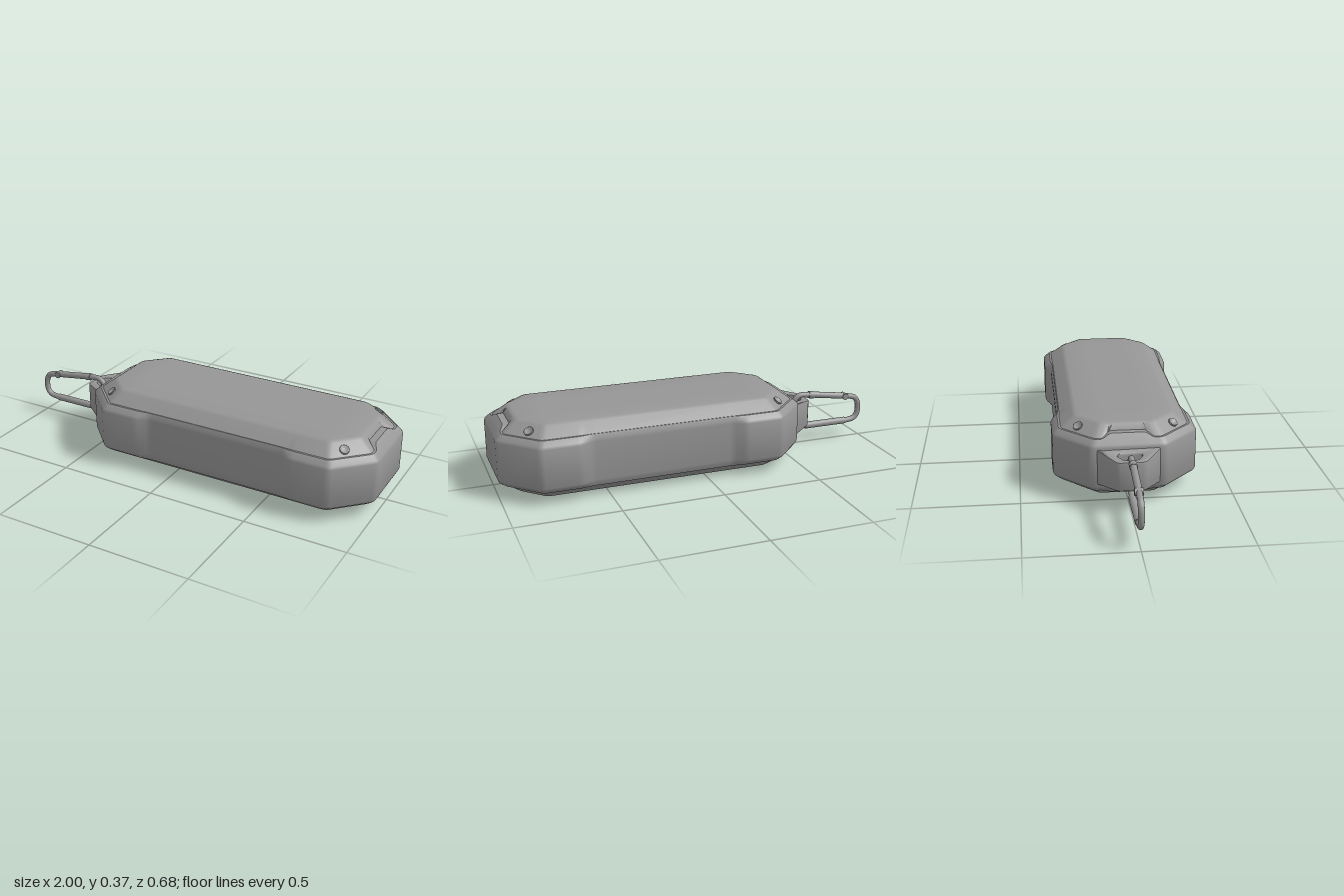
import * as THREE from 'three';
import { toCreasedNormals, mergeVertices } from 'three/addons/utils/BufferGeometryUtils.js';

const CX = 0.23, HX = 0.77, HZ = 0.342, CHAMFER = 0.17, H = 0.365;
const material = new THREE.MeshStandardMaterial({ color: 0x969696 });

function add(parent, name, geometry) {
  const mesh = new THREE.Mesh(geometry, material);
  mesh.name = name;
  parent.add(mesh);
  return mesh;
}

// Chamfered, waisted outline at inset d, with each corner softened
function outline(d) {
  const waist = 0.03 * Math.max(0, 1 - d / 0.045);
  const x = HX - d, z = HZ - d, c = CHAMFER - 0.586 * d, end = z - c;
  const quarter = [[x, Math.min(0.08, end * 0.5)], [x, Math.min(0.12, end * 0.75)],
    [x, end], [x - c, z], [0.41, z], [0.35, z - waist]];
  const mirrored = quarter.map(([a, b]) => [-a, b]).reverse();
  const half = [...quarter, ...mirrored];
  const corners = [...half, ...half.map(([a, b]) => [-a, -b])]
    .map(([a, b]) => new THREE.Vector2(a, b));
  const points = [];
  corners.forEach((p, i) => {
    const before = corners[(i + corners.length - 1) % corners.length];
    const after = corners[(i + 1) % corners.length];
    const toward = (q) => q.clone().sub(p).setLength(Math.min(0.018, q.distanceTo(p) * 0.4)).add(p);
    const curve = new THREE.QuadraticBezierCurve(toward(before), p, toward(after));
    points.push(...curve.getPoints(3));
  });
  return points;
}

// Case: inset outlines stacked from bottom to top, closed by flat caps.
// Each level is [inset, y, inset at the end tabs, y at the end tabs].
function caseGeometry() {
  const upper = [[0, 0.277], [0.006, 0.29], [0.031, 0.311, 0.052, 0.33], [0.041, 0.311, 0.084, 0.33],
    [0.098, 0.355], [0.107, 0.361], [0.12, H], [0.25, H]]
    .map(([d, y, tabD = d, tabY = y]) => [d, y, tabD, tabY]);
  const lower = upper.map(([d, y, tabD, tabY]) => [d, H - y, tabD, H - tabY]).reverse();
  const levels = [...lower, ...upper];
  const position = [], index = [];
  let n = 0;
  for (const [d, y, tabD, tabY] of levels) {
    const ring = outline(d);
    n = ring.length;
    for (const p of ring) {
      // Raise the rim into a tab in the middle of both ends
      const atEnd = Math.abs(p.x) > HX - d - 0.001;
      const tab = atEnd ? THREE.MathUtils.clamp((0.12 - Math.abs(p.y)) / 0.04, 0, 1) : 0;
      const x = p.x - Math.sign(p.x) * (tabD - d) * tab;
      position.push(CX + x, THREE.MathUtils.lerp(y, tabY, tab), p.y);
    }
  }
  const bottom = position.length / 3, top = bottom + 1, last = (levels.length - 1) * n;
  position.push(CX, 0, 0, CX, H, 0);
  for (let j = 0; j < n; j++) {
    const k = (j + 1) % n;
    for (let i = 0; i < levels.length - 1; i++) {
      const a = i * n + j, b = i * n + k;
      index.push(a, a + n, b, b, a + n, b + n);
    }
    index.push(bottom, j, k, top, last + k, last + j);
  }
  const geometry = new THREE.BufferGeometry();
  geometry.setAttribute('position', new THREE.Float32BufferAttribute(position, 3));
  geometry.setIndex(index);
  return toCreasedNormals(geometry, 0.6);
}

// Lanyard lug: trapezoid in plan with a matching hole
function lugGeometry() {
  const points = (list) => list.map(([x, z]) => new THREE.Vector2(x, z));
  const shape = new THREE.Shape(points([[-0.51, -0.15], [-0.51, 0.15], [-0.54, 0.138],
    [-0.642, 0.066], [-0.651, 0.052], [-0.651, -0.052], [-0.642, -0.066], [-0.54, -0.138]]));
  shape.holes.push(new THREE.Path(points([[-0.632, -0.03], [-0.622, -0.042], [-0.585, -0.065],
    [-0.57, -0.06], [-0.563, -0.045], [-0.563, 0.045], [-0.57, 0.06], [-0.585, 0.065],
    [-0.622, 0.042], [-0.632, 0.03]])));
  const geometry = new THREE.ExtrudeGeometry(shape, {
    depth: 0.128, bevelSize: 0.007, bevelThickness: 0.007, bevelSegments: 2 });
  geometry.rotateX(-Math.PI / 2).translate(0, 0.121, 0);
  // Grow taller toward the case
  const p = geometry.attributes.position;
  for (let i = 0; i < p.count; i++) {
    const grow = 1 + 0.22 * THREE.MathUtils.clamp((p.getX(i) + 0.59) / 0.05, 0, 1);
    p.setY(i, 0.185 + (p.getY(i) - 0.185) * grow);
  }
  geometry.deleteAttribute('normal');
  geometry.deleteAttribute('uv');
  return toCreasedNormals(mergeVertices(geometry), 0.6);
}

function rod(parent, name, from, to, radius) {
  const a = new THREE.Vector3(...from), b = new THREE.Vector3(...to);
  const mesh = add(parent, name, new THREE.CylinderGeometry(radius, radius, a.distanceTo(b), 16));
  mesh.position.copy(a).lerp(b, 0.5);
  mesh.quaternion.setFromUnitVectors(new THREE.Vector3(0, 1, 0), b.sub(a).normalize());
}

export function createModel() {
  const model = new THREE.Group();
  model.name = 'ruggedCase';
  add(model, 'caseBody', caseGeometry());

  // Dished screws on the corner slopes
  const head = new THREE.LatheGeometry([[0.023, -0.012], [0.023, 0.001], [0.021, 0.003],
    [0.014, -0.001], [0.007, -0.0035], [0, -0.004]].map(([r, y]) => new THREE.Vector2(r, y)), 20);
  for (const sx of [-1, 1]) for (const sz of [-1, 1]) {
    const screw = add(model, 'cornerScrew', head);
    screw.position.set(CX + sx * 0.625, 0.336, sz * 0.224);
    screw.quaternion.setFromUnitVectors(new THREE.Vector3(0, 1, 0),
      new THREE.Vector3(sx * 0.42, 0.805, sz * 0.42).normalize());
  }

  add(model, 'lanyardLug', lugGeometry());

  // Snap hook threaded through the lug
  const hook = new THREE.Group();
  hook.name = 'snapHook';
  model.add(hook);
  const path = new THREE.CatmullRomCurve3([[-0.985, 0.125], [-0.985, 0.185], [-0.965, 0.215],
    [-0.92, 0.229], [-0.8, 0.247], [-0.68, 0.263], [-0.63, 0.263], [-0.603, 0.24], [-0.603, 0.2],
    [-0.615, 0.145], [-0.645, 0.104], [-0.69, 0.091], [-0.8, 0.091], [-0.92, 0.091], [-0.965, 0.1]]
    .map(([x, y]) => new THREE.Vector3(x, y, 0)), true);
  add(hook, 'hookRing', new THREE.TubeGeometry(path, 120, 0.0145, 12, true));
  rod(hook, 'hookSpine', [-0.91, 0.091, 0], [-0.67, 0.091, 0], 0.018);
  rod(hook, 'hookGate', [-0.9, 0.232, 0], [-0.7, 0.261, 0], 0.0165);
  rod(hook, 'gateHinge', [-0.9, 0.231, -0.02], [-0.9, 0.231, 0.02], 0.017);
  rod(hook, 'gateLatch', [-0.715, 0.258, 0], [-0.685, 0.262, 0], 0.019);
  return model;
}
